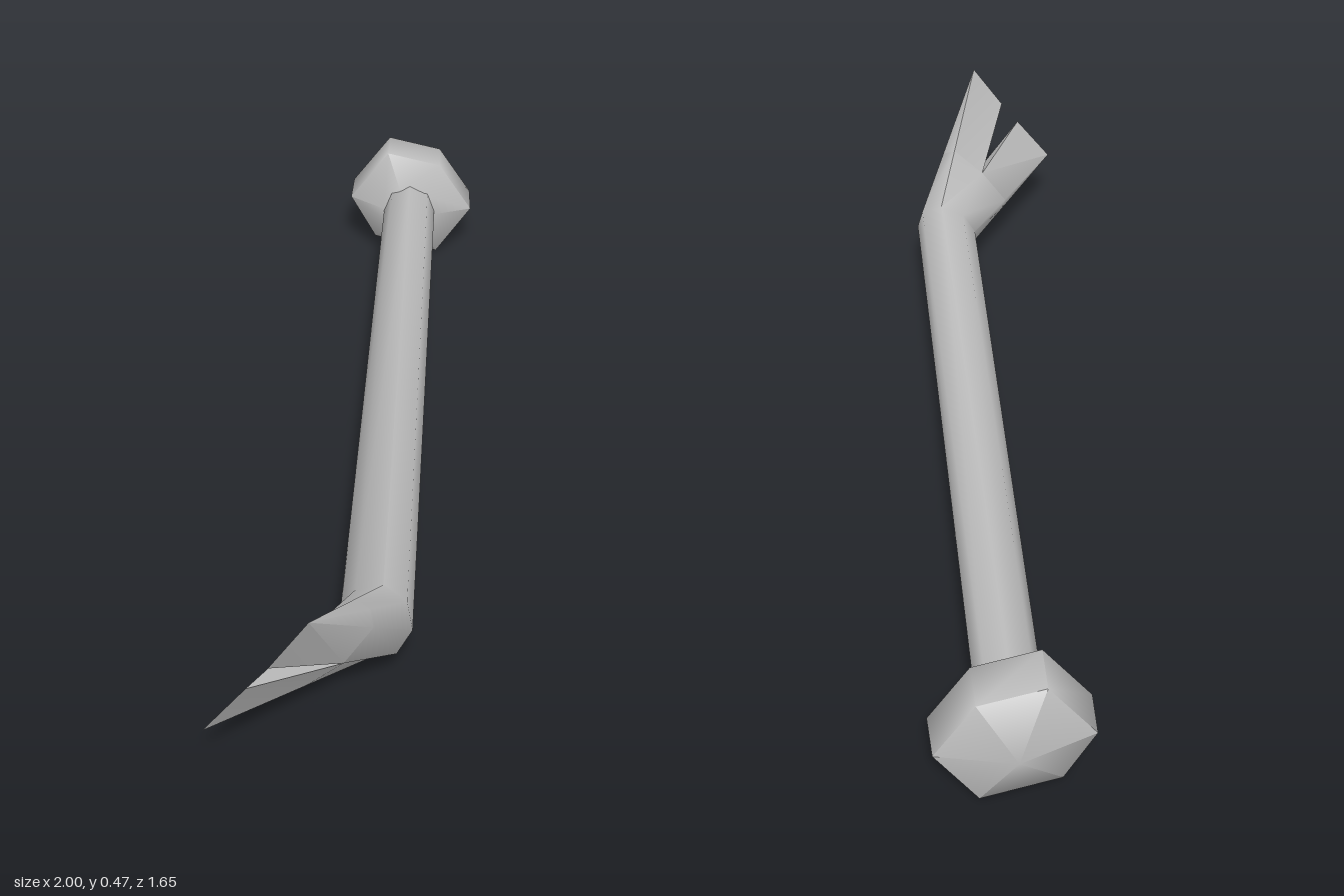
import * as THREE from 'three';
import { toCreasedNormals } from 'three/addons/utils/BufferGeometryUtils.js';

const V = (x, y, z) => new THREE.Vector3(x, y, z);
const Q = Math.SQRT1_2;
const AXIS_Y = 0.165;

// Point in the bar's own frame: s along the bar, w sideways, y up
const barPoint = (s, w, y) => V((s + w) * Q, y, (w - s) * Q);

// Closed-loop skin through rings of equal length
function loft(rings, crease) {
  const n = rings[0].length;
  const pos = rings.flat().flatMap((p) => [p.x, p.y, p.z]);
  const index = [];
  for (let r = 0; r < rings.length - 1; r++) {
    for (let i = 0; i < n; i++) {
      const j = (i + 1) % n;
      const a = r * n + i, b = r * n + j, c = b + n, d = a + n;
      index.push(a, b, c, a, c, d);
    }
  }
  const g = new THREE.BufferGeometry();
  g.setAttribute('position', new THREE.Float32BufferAttribute(pos, 3));
  g.setIndex(index);
  return toCreasedNormals(g, crease);
}

export function createModel() {
  const group = new THREE.Group();
  const steel = new THREE.MeshStandardMaterial({ color: 0xbcbcbc });
  steel.name = 'steel grey';
  const add = (name, geometry) => {
    const mesh = new THREE.Mesh(geometry, steel);
    mesh.name = name;
    group.add(mesh);
    return mesh;
  };

  // Claw tip corners, from the lower back to the upper front
  const tips = [V(-1, 0.175, 0.665), V(-0.935, 0.295, 0.73), V(-0.905, 0.355, 0.765), V(-0.845, 0.475, 0.82)];
  const tipMid = tips[1].clone().lerp(tips[2], 0.5);

  // Shaft: octagonal, mitred at the elbow, flattening up to the notch
  const elbowCentre = V(-0.51, AXIS_Y, 0.65);
  const elbowSide = V(0.04, 0, 0.0725);
  const elbowUp = V(0.025, 0.0875, -0.005);
  const knobRing = [], elbowRing = [], notchRing = [];
  const targets = [tips[3], tips[3], tips[3], tipMid, tips[0], tips[0], tips[0], tipMid];
  for (let k = 0; k < 8; k++) {
    const c = Math.cos(k * Math.PI / 4), s = Math.sin(k * Math.PI / 4);
    knobRing.push(barPoint(1.0, 0.118 + 0.073 * c, AXIS_Y + 0.077 * s));
    elbowRing.push(elbowCentre.clone().addScaledVector(elbowSide, c).addScaledVector(elbowUp, s));
    notchRing.push(elbowRing[k].clone().lerp(targets[k], 0.4));
  }
  add('shaft', loft([knobRing, elbowRing, notchRing], 0.9));

  // Two prongs tapering from half of the notch ring to a thin edge
  const prong = (name, start, inner, outer) => {
    const base = [0, 1, 2, 3, 4].map((i) => notchRing[(start + i) % 8]);
    add(name, loft([base, [inner, outer, outer, outer, inner]], 0.9));
  };
  prong('upperProng', 7, tips[2], tips[3]);
  prong('lowerProng', 3, tips[1], tips[0]);

  // Faceted knob: six-sided outline scaled along the bar
  const outline = [[0.178, -0.015], [0.085, 0.125], [-0.065, 0.16], [-0.172, 0.015], [-0.1, -0.115], [0.08, -0.16]];
  const knobStations = [[1.18, 0], [1.127, 0.98], [1.02, 1], [0.967, 0.43], [0.967, 0]];
  add('knob', loft(knobStations.map(([s, k]) =>
    outline.map(([w, y]) => barPoint(s, 0.118 + w * k, AXIS_Y + y * k))), 1.2));

  // Two small studs on the lower front of the shaft
  const studDir = V(0.55, -0.6, 0.55).normalize();
  for (const s of [0.43, 0.69]) {
    const stud = add('stud', new THREE.ConeGeometry(0.044, 0.05, 5));
    stud.position.copy(barPoint(s, 0.167, 0.134));
    stud.quaternion.setFromUnitVectors(V(0, 1, 0), studDir);
  }

  return group;
}
